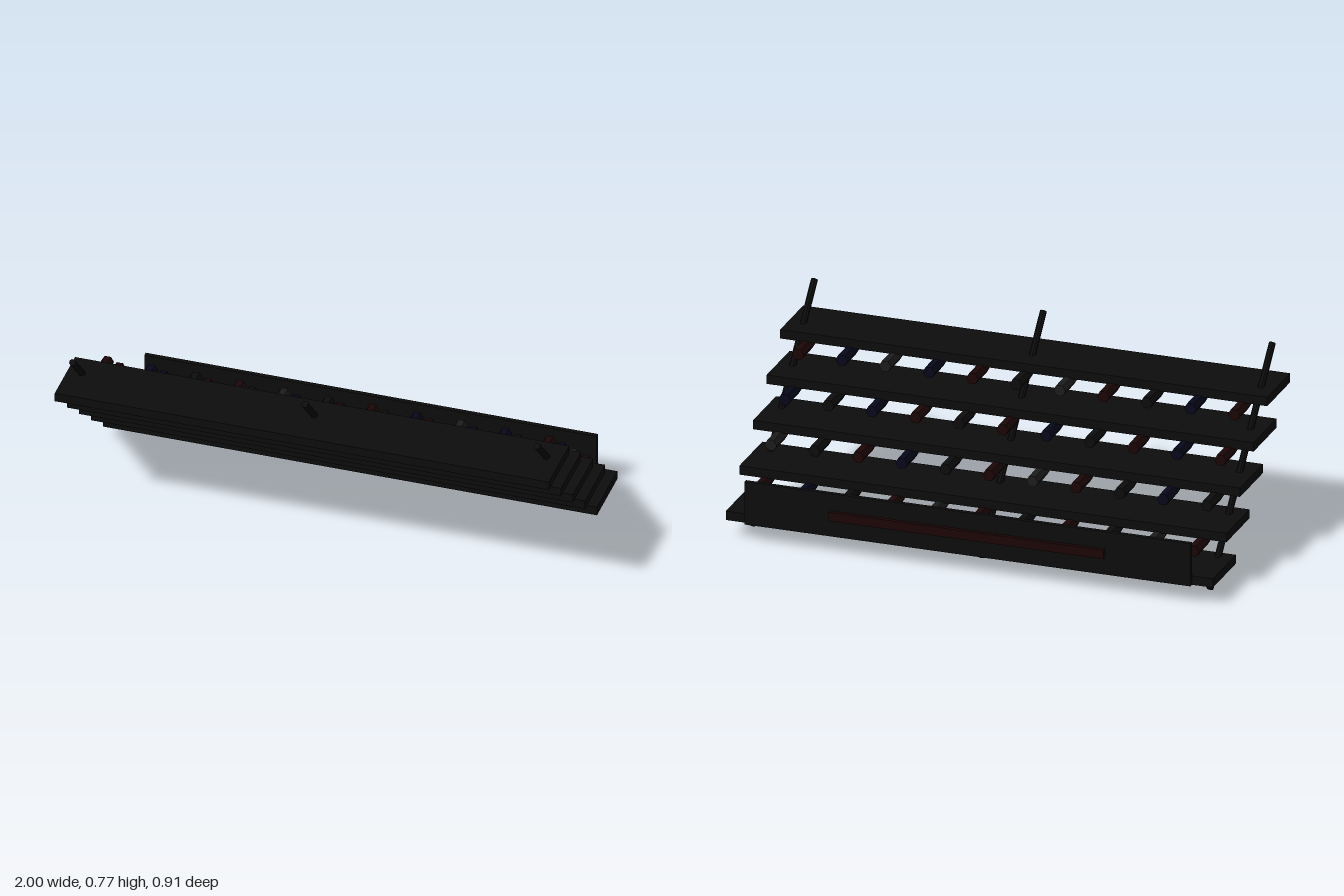
import * as THREE from 'three';

const paint = (color) => new THREE.MeshStandardMaterial({ color, flatShading: true });

export function createModel() {
  const model = new THREE.Group();
  const black = paint(0x0d0d0d);
  const rungPaint = { r: paint(0x1c0606), b: paint(0x07071c), g: paint(0x1c1c1c), k: black };

  const add = (name, geometry, material, x, y, z) => {
    const mesh = new THREE.Mesh(geometry, material);
    mesh.name = name;
    mesh.position.set(x, y, z);
    model.add(mesh);
    return mesh;
  };

  // Five stepped shelves, each lower one set further back
  const shelf = new THREE.BoxGeometry(2, 0.037, 0.259);
  const stepY = 0.13, stepZ = 0.1532;
  for (let i = 0; i < 5; i++) {
    add('shelf', shelf, black, 0, 0.612 - i * stepY, 0.3255 - i * stepZ);
  }

  // Hexagonal pegs lying front to back under the upper four shelves
  const peg = new THREE.CylinderGeometry(0.025, 0.025, 0.129, 6);
  peg.rotateY(Math.PI / 2).rotateX(Math.PI / 2);
  peg.computeBoundingBox();
  const size = peg.boundingBox.getSize(new THREE.Vector3());
  if (size.y > size.x) peg.rotateZ(Math.PI / 2);
  const colours = ['rbkrgkrbgbr', 'rbrkbrkrbkb', 'kbkrgrkbrkg', 'rgkrkrgrkbr'];
  colours.forEach((row, i) => {
    [...row].forEach((c, j) => {
      add('peg', peg, rungPaint[c], (j - 5) * 0.179, 0.576 - i * stepY, 0.1725 - i * stepZ);
    });
  });

  // Three sloping rails that carry the shelves
  const low = new THREE.Vector3(0, 0.0095, -0.285);
  const high = new THREE.Vector3(0, 0.763, 0.418);
  const along = high.clone().sub(low);
  const rail = new THREE.CylinderGeometry(0.0135, 0.0135, along.length(), 8);
  rail.rotateY(Math.PI / 8);
  for (const x of [-0.94, 0, 0.94]) {
    add('rail', rail, black, x, (low.y + high.y) / 2, (low.z + high.z) / 2)
      .rotation.x = Math.atan2(along.z, along.y);
  }

  // Upright back board with a raised strip
  add('backBoard', new THREE.BoxGeometry(1.83, 0.178, 0.018), black, 0, 0.164, -0.429);
  add('backStrip', new THREE.BoxGeometry(1.13, 0.037, 0.018), rungPaint.r, 0, 0.164, -0.446);

  return model;
}
